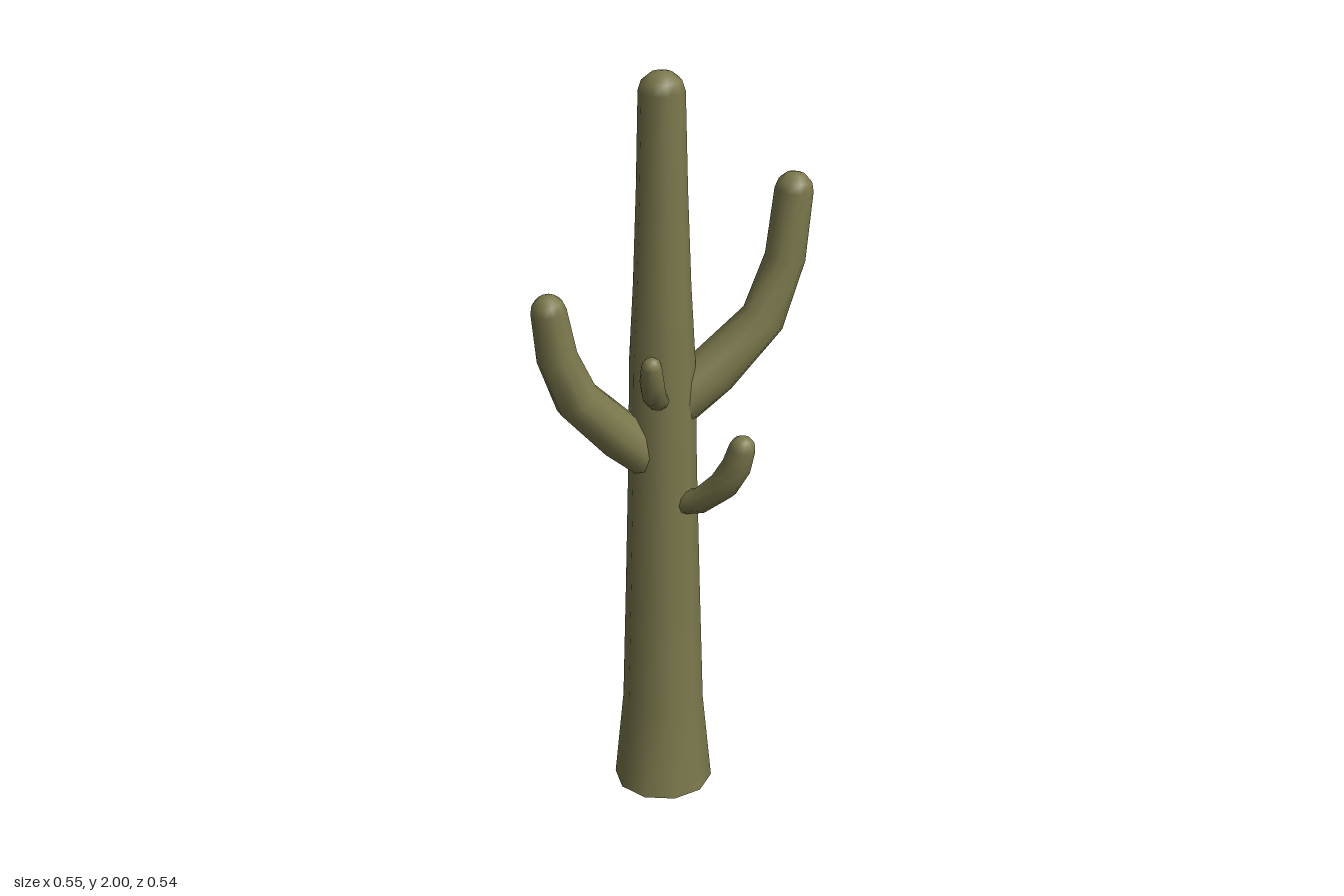
import * as THREE from 'three';

// Smooth tube through rings [x, y, z, radius], closed by a dome at its tip.
// Every ring stays square to the path, with one fixed sideways axis so it cannot twist.
function sweep(rings, sides, phase, domeHeight, side) {
  const pts = rings.map(([x, y, z]) => new THREE.Vector3(x, y, z));
  const last = pts.length - 1;
  const positions = [];
  const index = [];

  const addRing = (centre, t, r) => {
    const n = new THREE.Vector3().crossVectors(t, side).normalize();
    for (let j = 0; j < sides; j++) {
      const a = phase + (j / sides) * Math.PI * 2;
      const p = centre.clone()
        .addScaledVector(side, r * Math.cos(a))
        .addScaledVector(n, r * Math.sin(a));
      positions.push(p.x, p.y, p.z);
    }
  };

  let t;
  pts.forEach((p, i) => {
    t = pts[Math.min(i + 1, last)].clone().sub(pts[Math.max(i - 1, 0)]).normalize();
    addRing(p, t, rings[i][3]);
  });

  // dome rings and apex
  const tipR = rings[last][3];
  for (const a of [0.55, 1.05]) {
    addRing(pts[last].clone().addScaledVector(t, domeHeight * Math.sin(a)), t, tipR * Math.cos(a));
  }
  const count = positions.length / 3 / sides;
  const apex = pts[last].clone().addScaledVector(t, domeHeight);
  positions.push(apex.x, apex.y, apex.z);

  for (let i = 0; i < count; i++) {
    for (let j = 0; j < sides; j++) {
      const k = (j + 1) % sides;
      const a = i * sides + j, b = i * sides + k;
      if (i === count - 1) index.push(a, b, count * sides);
      else index.push(a, b, b + sides, a, b + sides, a + sides);
    }
  }
  const g = new THREE.BufferGeometry();
  g.setAttribute('position', new THREE.Float32BufferAttribute(positions, 3));
  g.setIndex(index);
  g.computeVertexNormals();
  return g;
}

export function createModel() {
  const group = new THREE.Group();
  const green = new THREE.MeshStandardMaterial({ color: 0x7b784c });
  green.name = 'olive green';

  const add = (name, geometry) => {
    const mesh = new THREE.Mesh(geometry, green);
    mesh.name = name;
    group.add(mesh);
    return mesh;
  };

  // trunk: flared foot, slow taper, rounded top
  const cx = -0.03, cz = 0.005;
  const phase = THREE.MathUtils.degToRad(21);
  const profile = [[0, 0.132], [0.25, 0.108], [0.6, 0.098], [0.95, 0.089],
    [1.25, 0.084], [1.45, 0.073], [1.7, 0.064], [1.95, 0.058]];
  add('trunk', sweep(profile.map(([y, r]) => [cx, y, cz, r]), 10, phase, 0.05,
    new THREE.Vector3(1, 0, 0)));

  // flat underside
  const base = add('trunkBase', new THREE.CircleGeometry(0.132, 10, -phase));
  base.rotation.x = Math.PI / 2;
  base.position.set(cx, 0, cz);

  // arms: each grows out of the trunk and bends upwards
  const arms = {
    tallBackArm: [[-0.01, 1.12, -0.02, 0.07], [0.07, 1.2, -0.085, 0.068],
      [0.17, 1.33, -0.17, 0.058], [0.212, 1.49, -0.208, 0.052], [0.225, 1.665, -0.225, 0.049]],
    tallFrontArm: [[-0.05, 0.98, 0.03, 0.06], [-0.11, 1.06, 0.095, 0.064],
      [-0.185, 1.18, 0.18, 0.059], [-0.22, 1.3, 0.213, 0.052], [-0.234, 1.425, 0.225, 0.045]],
    shortBackArm: [[-0.07, 0.96, -0.04, 0.033], [-0.1, 1.0, -0.1, 0.038],
      [-0.14, 1.075, -0.16, 0.04], [-0.157, 1.135, -0.182, 0.038], [-0.164, 1.195, -0.192, 0.034]],
    shortSideArm: [[0.02, 0.855, 0.02, 0.03], [0.09, 0.885, 0.032, 0.034],
      [0.16, 0.95, 0.042, 0.039], [0.195, 1.01, 0.045, 0.038], [0.211, 1.065, 0.046, 0.034]],
    smallFrontArm: [[-0.01, 1.16, 0.06, 0.025], [0.0, 1.18, 0.1, 0.028],
      [0.012, 1.215, 0.143, 0.031], [0.019, 1.26, 0.168, 0.031], [0.023, 1.305, 0.178, 0.026]],
  };
  for (const [name, rings] of Object.entries(arms)) {
    const a = rings[0], b = rings[rings.length - 1];
    const side = new THREE.Vector3(a[2] - b[2], 0, b[0] - a[0]).normalize();
    add(name, sweep(rings, 10, 0, b[3] * 0.95, side));
  }
  return group;
}
